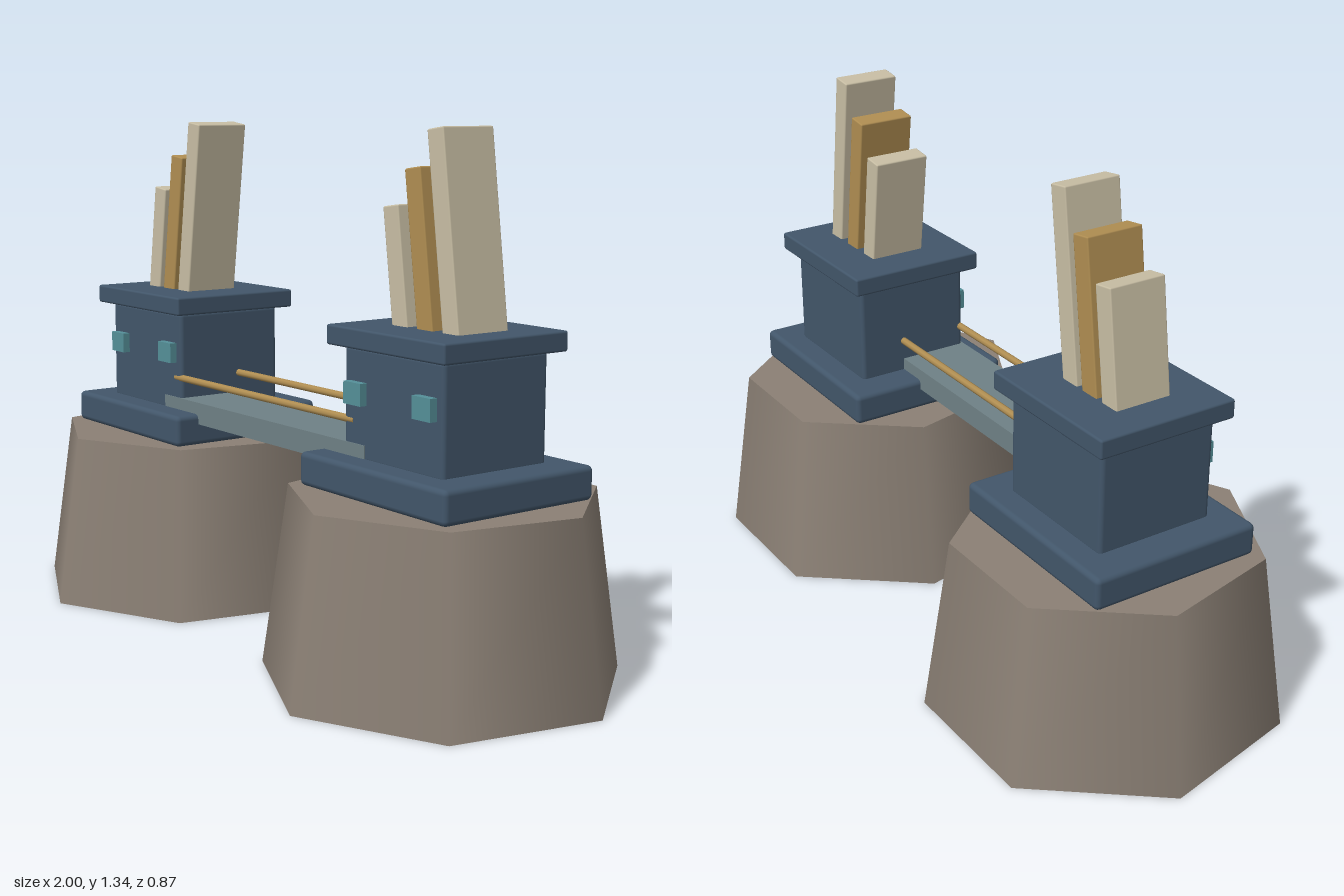
import * as THREE from 'three';
import { RoundedBoxGeometry } from 'three/addons/geometries/RoundedBoxGeometry.js';

const mat = (name, color) => {
  const m = new THREE.MeshStandardMaterial({ color });
  m.name = name;
  return m;
};

export function createModel() {
  const stone = mat('stone', 0x8b8075);
  const slate = mat('slate blue', 0x42566a);
  const ivory = mat('ivory', 0xc8bea4);
  const gold = mat('gold', 0xb08e52);
  const teal = mat('teal', 0x559099);
  const grey = mat('bridge grey', 0x6f8186);

  const CX = 0.5535, CZ = -0.023;
  const model = new THREE.Group();
  model.name = 'twinTowerBridge';

  const add = (parent, name, geometry, material, x, y, z) => {
    const m = new THREE.Mesh(geometry, material);
    m.name = name;
    m.position.set(x, y, z);
    parent.add(m);
    return m;
  };
  const slab = (w, y0, y1, d, r) => new RoundedBoxGeometry(w, y1 - y0, d, 2, r);

  for (const side of [-1, 1]) {
    const tower = new THREE.Group();
    tower.name = side < 0 ? 'rightTower' : 'leftTower';
    tower.position.set(side * CX, 0, CZ);
    model.add(tower);

    // Seven-sided rock foot
    add(tower, 'rock', new THREE.CylinderGeometry(0.39, 0.458, 0.465, 7), stone, 0, 0.2325, 0);

    // Plinth, body and overhanging cap
    add(tower, 'plinth', slab(0.546, 0.465, 0.55, 0.467, 0.014), slate, 0, 0.5075, 0);
    add(tower, 'body', slab(0.366, 0.54, 0.82, 0.325, 0.012), slate, 0, 0.68, 0);
    add(tower, 'cap', slab(0.435, 0.818, 0.868, 0.385, 0.006), slate, 0, 0.843, 0);

    // Front windows
    for (const s of [-1, 1])
      add(tower, 'window', new THREE.BoxGeometry(0.065, 0.055, 0.03), teal, s * 0.128, 0.708, 0.168);

    // Three fins of rising height, leaning toward the middle
    const lean = 0.133;
    [1.158, 1.25, 1.343].forEach((top, i) => {
      const length = (top - 0.872) / Math.cos(lean) + 0.03;
      const geometry = new RoundedBoxGeometry(0.057, length, 0.156, 1, 0.004);
      geometry.translate(0, length / 2 - 0.03, 0);
      const x = (i - 1) * (side < 0 ? 0.0775 : 0.092) + (side < 0 ? -0.0135 : 0.0135);
      const fin = add(tower, 'fin', geometry, i === 1 ? gold : ivory, x, 0.868, 0);
      fin.rotation.z = side * lean;
    });
  }

  // Walkway between the towers with two handrails
  add(model, 'bridgeDeck', new THREE.BoxGeometry(0.905, 0.06, 0.197), grey, 0, 0.553, 0.0435);
  for (const z of [-0.054, 0.132]) {
    const rail = add(model, 'handrail', new THREE.CylinderGeometry(0.0098, 0.0098, 0.81, 8), gold, 0, 0.638, z);
    rail.rotation.z = Math.PI / 2;
  }
  return model;
}
